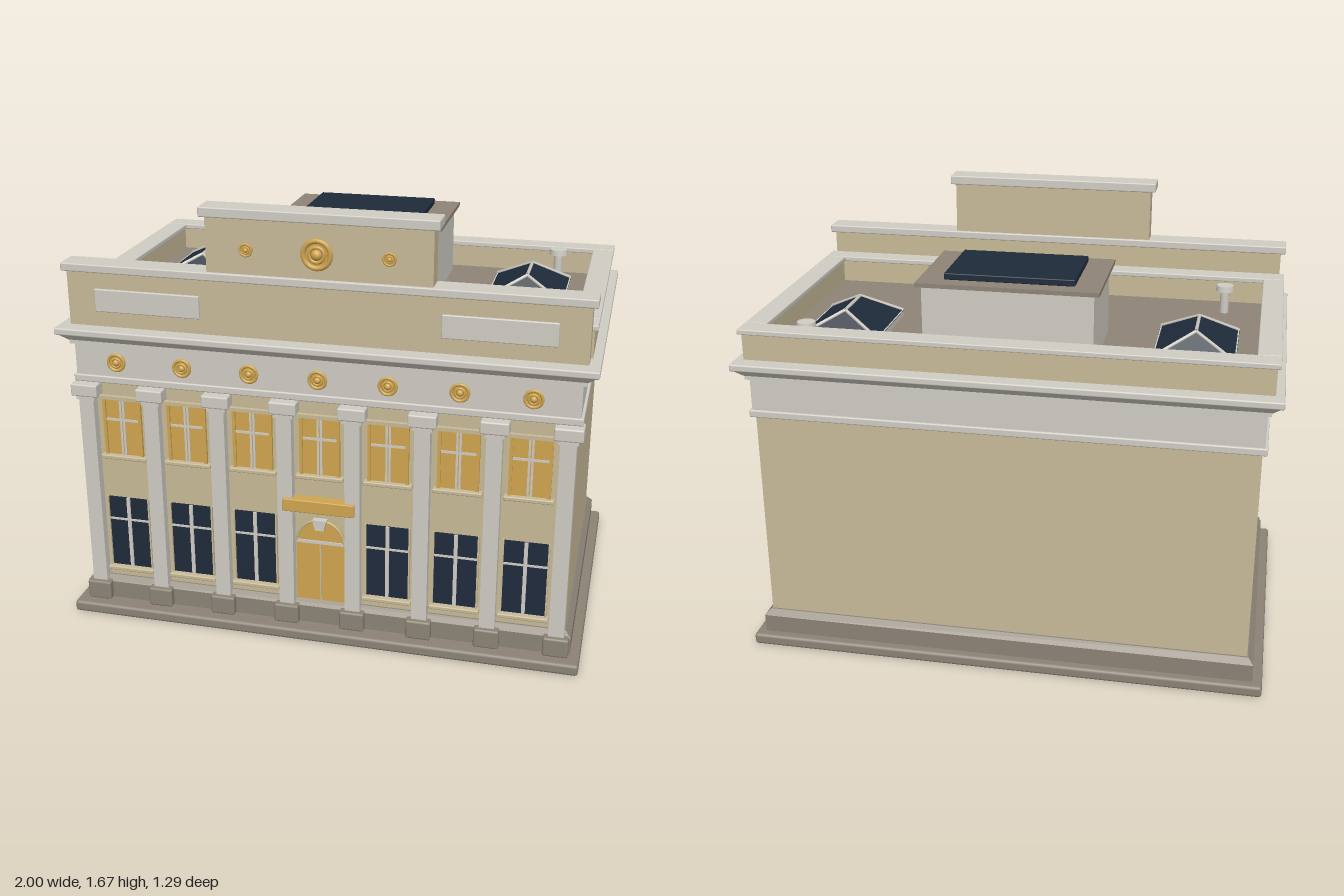
import * as THREE from 'three';
import { RoundedBoxGeometry } from 'three/addons/geometries/RoundedBoxGeometry.js';

export function createModel() {
  const model = new THREE.Group();
  model.name = 'building';

  const material = (name, color) => {
    const m = new THREE.MeshStandardMaterial({ color });
    m.name = name;
    return m;
  };
  const wall = material('tan wall', 0xc8ba98);
  const stone = material('pale stone', 0xd0ccc4);
  const base = material('brown grey stone', 0x8c8375);
  const deckMat = material('roof deck', 0x8e8577);
  const glass = material('navy glass', 0x1f2b3b);
  const gold = material('gold', 0xcfa550);

  const add = (name, geometry, mat, x = 0, y = 0, z = 0, parent = model) => {
    const mesh = new THREE.Mesh(geometry, mat);
    mesh.name = name;
    mesh.position.set(x, y, z);
    parent.add(mesh);
    return mesh;
  };
  // Box given by its extents; r rounds its edges
  const box = (name, mat, x0, x1, y0, y1, z0, z1, r = 0, parent = model) => {
    const s = [x1 - x0, y1 - y0, z1 - z0];
    const g = r ? new RoundedBoxGeometry(...s, 2, r) : new THREE.BoxGeometry(...s);
    return add(name, g, mat, (x0 + x1) / 2, (y0 + y1) / 2, (z0 + z1) / 2, parent);
  };
  // Box whose top is shrunk or widened to its own size
  const taper = (w, h, d, topW, topD) => {
    const g = new THREE.BoxGeometry(w, h, d);
    const p = g.attributes.position;
    for (let i = 0; i < p.count; i++) {
      if (p.getY(i) > 0) {
        p.setX(i, Math.sign(p.getX(i)) * topW / 2);
        p.setZ(i, Math.sign(p.getZ(i)) * topD / 2);
      }
    }
    g.computeVertexNormals();
    return g;
  };
  const group = (name, x = 0, y = 0, z = 0) => {
    const g = new THREE.Group();
    g.name = name;
    g.position.set(x, y, z);
    model.add(g);
    return g;
  };

  // Plinth, base and main block
  box('plinth', base, -0.997, 0.997, 0, 0.045, -0.646, 0.646, 0.012);
  box('baseCourse', base, -0.96, 0.96, 0.04, 0.115, -0.61, 0.577);
  add('baseBevel', taper(1.92, 0.022, 1.187, 1.88, 1.147), base, 0, 0.126, -0.0165);
  box('mainBlock', wall, -0.935, 0.935, 0.1, 0.98, -0.583, 0.55);

  // Entablature and cornice
  box('architrave', stone, -0.953, 0.953, 0.968, 0.996, -0.603, 0.575, 0.005);
  box('frieze', stone, -0.943, 0.943, 0.99, 1.125, -0.594, 0.568);
  box('corniceFillet', stone, -0.957, 0.957, 1.12, 1.135, -0.607, 0.582);
  add('corniceFlare', taper(1.92, 0.03, 1.19, 1.98, 1.255), stone, 0, 1.15, -0.0125);
  box('corniceSlab', stone, -0.998, 0.998, 1.163, 1.19, -0.647, 0.623, 0.006);

  // Pilasters with pedestals and capitals
  const bay = 0.259;
  for (let i = 0; i < 8; i++) {
    const p = group('pilaster', (i - 3.5) * bay);
    box('pedestal', base, -0.048, 0.048, 0.045, 0.122, 0.53, 0.605, 0.008, p);
    box('shaft', stone, -0.029, 0.029, 0.115, 0.92, 0.53, 0.586, 0, p);
    box('necking', stone, -0.036, 0.036, 0.9, 0.917, 0.53, 0.592, 0, p);
    box('capital', stone, -0.052, 0.052, 0.917, 0.965, 0.53, 0.605, 0.006, p);
  }

  // Stacked round ornament facing forward
  const medallion = (x, y, z, r, sides = 24) => {
    const m = group('medallion', x, y, z);
    const disc = new THREE.CylinderGeometry(r * 0.9, r * 0.9, 0.012, sides).rotateX(Math.PI / 2);
    add('disc', disc, gold, 0, 0, 0.004, m);
    add('rim', new THREE.TorusGeometry(r * 0.84, r * 0.16, 8, sides), gold, 0, 0, 0.01, m);
    add('innerRing', new THREE.TorusGeometry(r * 0.46, r * 0.12, 8, sides), gold, 0, 0, 0.013, m);
    add('boss', new THREE.SphereGeometry(r * 0.35, 16, 10), gold, 0, 0, 0.012, m).scale.z = 0.9;
  };

  // Window bays, with the doorway in the middle
  for (let i = -3; i <= 3; i++) {
    const x = i * bay;
    medallion(x, 1.056, 0.568, 0.037);
    const u = group('upperWindow', x);
    box('goldPane', gold, -0.077, 0.077, 0.67, 0.9, 0.547, 0.554, 0, u);
    for (const s of [-1, 1]) {
      box('sideFrame', gold, s * 0.071 - 0.006, s * 0.071 + 0.006, 0.67, 0.9, 0.549, 0.562, 0, u);
      box('mullion', stone, s * 0.006 - 0.004, s * 0.006 + 0.004, 0.67, 0.9, 0.549, 0.559, 0, u);
    }
    box('transom', stone, -0.066, 0.066, 0.81, 0.819, 0.549, 0.558, 0, u);
    box('lintel', wall, -0.088, 0.088, 0.898, 0.912, 0.545, 0.566, 0, u);
    box('sill', wall, -0.092, 0.092, 0.654, 0.67, 0.545, 0.575, 0.004, u);
    if (i === 0) continue;
    const l = group('lowerWindow', x);
    box('darkPane', glass, -0.083, 0.083, 0.185, 0.484, 0.547, 0.554, 0, l);
    for (const s of [-1, 1]) {
      box('sideFrame', wall, s * 0.084 - 0.003, s * 0.084 + 0.003, 0.185, 0.487, 0.549, 0.562, 0, l);
    }
    box('mullion', stone, -0.007, 0.007, 0.185, 0.484, 0.549, 0.56, 0, l);
    box('transom', stone, -0.081, 0.081, 0.386, 0.394, 0.549, 0.558, 0, l);
    box('sill', wall, -0.095, 0.095, 0.169, 0.185, 0.545, 0.578, 0.004, l);
  }

  // Arched door
  const door = group('door');
  const arch = new THREE.Shape();
  arch.moveTo(-0.096, 0.122).lineTo(0.096, 0.122).lineTo(0.096, 0.388);
  arch.absarc(0, 0.388, 0.096, 0, Math.PI, false);
  add('leaf', new THREE.ExtrudeGeometry(arch, { depth: 0.01, bevelEnabled: false, curveSegments: 16 }),
    gold, 0, 0, 0.547, door);
  add('archMoulding', new THREE.TorusGeometry(0.092, 0.005, 6, 24, Math.PI), wall, 0, 0.388, 0.558, door);
  box('transom', stone, -0.094, 0.094, 0.382, 0.394, 0.55, 0.562, 0, door);
  box('meetingStile', wall, -0.003, 0.003, 0.122, 0.382, 0.55, 0.56, 0, door);
  add('keystone', taper(0.034, 0.042, 0.03, 0.054, 0.03), stone, 0, 0.466, 0.56, door);
  box('hood', gold, -0.139, 0.139, 0.525, 0.576, 0.54, 0.596, 0.004, door);

  // Front attic with panels and raised centre
  box('attic', wall, -0.957, 0.957, 1.18, 1.4, 0.483, 0.559);
  box('atticCoping', stone, -0.976, 0.976, 1.397, 1.428, 0.471, 0.572, 0.005);
  box('centreBlock', wall, -0.412, 0.412, 1.42, 1.635, 0.483, 0.559);
  box('centreCoping', stone, -0.433, 0.433, 1.63, 1.667, 0.471, 0.572, 0.005);
  for (const s of [-1, 1]) {
    box('atticPanel', stone, s * 0.647 - 0.203, s * 0.647 + 0.203, 1.248, 1.335, 0.55, 0.568, 0.004);
    medallion(s * bay, 1.52, 0.559, 0.027, 8);
  }
  medallion(0, 1.52, 0.559, 0.059);

  // Roof deck and low parapets
  box('roofDeck', deckMat, -0.92, 0.92, 1.185, 1.2, -0.56, 0.49);
  for (const s of [-1, 1]) {
    box('sideParapet', wall, s * 0.935 - 0.03, s * 0.935 + 0.03, 1.18, 1.295, -0.583, 0.485);
    box('sideCoping', stone, s * 0.935 - 0.042, s * 0.935 + 0.042, 1.29, 1.31, -0.512, 0.402, 0.004);
  }
  for (const [name, z] of [['back', -0.555], ['front', 0.445]]) {
    box(name + 'Parapet', wall, -0.96, 0.96, 1.18, 1.295, z - 0.03, z + 0.03);
    box(name + 'Coping', stone, -0.977, 0.977, 1.29, 1.31, z - 0.043, z + 0.043, 0.004);
  }

  // Rooftop house
  box('roofHouse', stone, -0.315, 0.315, 1.19, 1.472, -0.46, -0.05);
  box('roofHouseSlab', deckMat, -0.335, 0.335, 1.47, 1.486, -0.476, -0.038);
  box('roofHouseSkylight', glass, -0.24, 0.24, 1.486, 1.511, -0.417, -0.094, 0.004);

  // Hipped skylights with pale ribs
  const rib = (a, b, parent) => {
    const path = new THREE.LineCurve3(new THREE.Vector3(...a), new THREE.Vector3(...b));
    add('rib', new THREE.TubeGeometry(path, 1, 0.007, 6), stone, 0, 0, 0, parent);
  };
  for (const s of [-1, 1]) {
    const k = group('skylight', s * 0.667, 1.2, -0.189);
    box('curb', stone, -0.15, 0.15, -0.01, 0.025, -0.178, 0.178, 0, k);
    add('glazing', taper(0.302, 0.08, 0.36, 0.004, 0.184), glass, 0, 0.062, 0, k);
    rib([0, 0.102, -0.092], [0, 0.102, 0.092], k);
    for (const a of [-1, 1]) for (const b of [-1, 1]) {
      rib([a * 0.148, 0.025, b * 0.177], [0, 0.102, b * 0.092], k);
    }
  }

  // Roof vents
  for (const [x, z] of [[-0.745, 0.275], [0.755, -0.47]]) {
    const v = group('vent', x, 1.2, z);
    add('pipe', new THREE.CylinderGeometry(0.018, 0.018, 0.095, 12), stone, 0, 0.045, 0, v);
    add('cap', new THREE.CylinderGeometry(0.034, 0.037, 0.022, 16), stone, 0, 0.102, 0, v);
  }
  return model;
}
